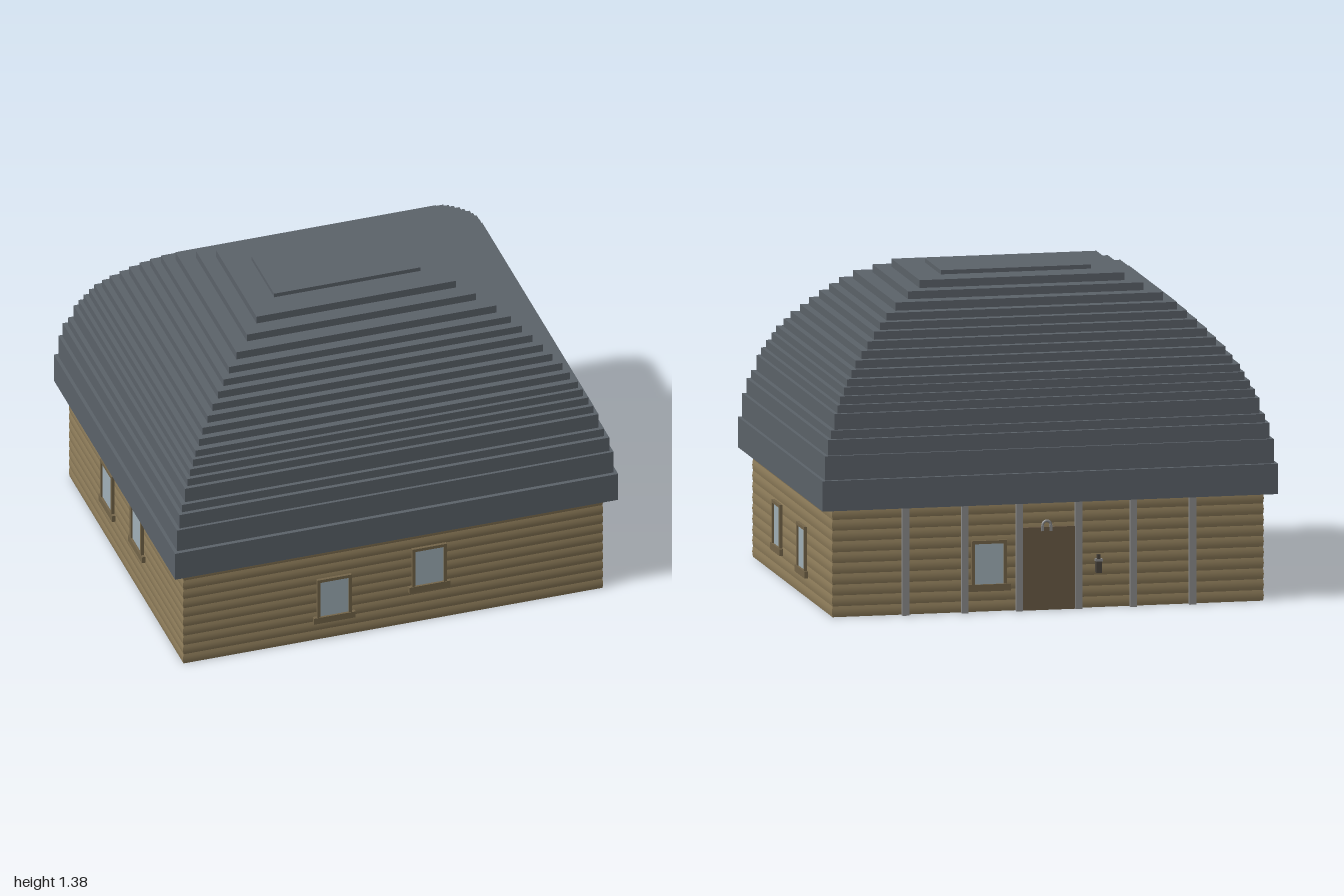
import * as THREE from 'three';

const mat = (color) => new THREE.MeshStandardMaterial({ color });
const roofMat = mat(0x5c636a), wallMat = mat(0x917f5c), trimMat = mat(0x75664a);
const glassMat = mat(0xa2b1b9), doorMat = mat(0x6a5a45), metalMat = mat(0x8c8c8c), darkMat = mat(0x4a443c);

function box(parent, name, w, h, d, x, y, z, material) {
  const mesh = new THREE.Mesh(new THREE.BoxGeometry(w, h, d), material);
  mesh.position.set(x, y, z);
  mesh.name = name;
  parent.add(mesh);
  return mesh;
}

// Framed window facing +z; origin is the middle of the sill's underside
function makeWindow() {
  const g = new THREE.Group();
  g.name = 'window';
  const w = 0.155, h = 0.19, t = 0.014, sill = 0.03, depth = 0.016;
  box(g, 'sill', 0.187, sill, depth, 0, sill / 2, depth / 2, trimMat);
  for (const s of [-1, 1])
    box(g, 'frameSide', t, h, depth * 0.85, s * (w - t) / 2, sill + h / 2, depth * 0.425, trimMat);
  box(g, 'frameTop', w, t, depth * 0.85, 0, sill + h - t / 2, depth * 0.425, trimMat);
  box(g, 'glass', w - t, h - t, 0.006, 0, sill + (h - t) / 2, 0.003, glassMat);
  return g;
}

export function createModel() {
  const model = new THREE.Group();
  model.name = 'cottage';
  const HX = 0.948, HZ = 0.778, wallTop = 0.47;

  // Walls: stacked courses with a very shallow bulge
  const walls = new THREE.Group();
  walls.name = 'walls';
  const courses = 10, ch = wallTop / courses;
  const course = new THREE.BoxGeometry(HX * 2, ch, HZ * 2, 1, 4, 1);
  const p = course.attributes.position;
  for (let i = 0; i < p.count; i++) {
    const inset = 0.003 * (2 * p.getY(i) / ch) ** 2;
    p.setX(i, p.getX(i) - Math.sign(p.getX(i)) * inset);
    p.setZ(i, p.getZ(i) - Math.sign(p.getZ(i)) * inset);
  }
  course.computeVertexNormals();
  for (let i = 0; i < courses; i++) {
    const m = new THREE.Mesh(course, wallMat);
    m.name = 'wallCourse';
    m.position.y = (i + 0.5) * ch;
    walls.add(m);
  }
  model.add(walls);

  // Domed roof of shrinking slabs: [half width, half depth, top height]
  const layers = [
    [1, 0.826, 0.602], [0.985, 0.808, 0.707], [0.97, 0.795, 0.775], [0.953, 0.777, 0.812],
    [0.933, 0.76, 0.88], [0.917, 0.742, 0.915], [0.9, 0.724, 0.95], [0.88, 0.706, 0.985],
    [0.863, 0.689, 1.017], [0.837, 0.66, 1.052], [0.812, 0.631, 1.087], [0.778, 0.6, 1.122],
    [0.746, 0.569, 1.157], [0.709, 0.535, 1.192], [0.674, 0.5, 1.225], [0.637, 0.462, 1.258],
    [0.587, 0.415, 1.294], [0.517, 0.347, 1.328], [0.45, 0.276, 1.362], [0.33, 0.154, 1.38],
  ];
  const roof = new THREE.Group();
  roof.name = 'roof';
  let base = wallTop;
  for (const [hx, hz, top] of layers) {
    box(roof, 'roofLayer', hx * 2, top - base, hz * 2, 0, (top + base) / 2, 0, roofMat);
    base = top;
  }
  model.add(roof);

  // Windows: [x, sill height, z, turn]
  const q = Math.PI / 2;
  const windows = [
    [-0.268, 0.09, HZ, 0], [0.161, 0.16, HZ, 0],
    [HX, 0.105, 0.267, q], [HX, 0.09, -0.214, q],
    [-HX, 0.16, -0.235, -q], [-HX, 0.2, 0.17, -q],
    [0.26, 0.09, -HZ, Math.PI],
  ];
  for (const [x, y, z, turn] of windows) {
    const w = makeWindow();
    w.position.set(x, y, z);
    w.rotation.y = turn;
    model.add(w);
  }

  // Back door
  box(model, 'door', 0.25, 0.36, 0.017, 0, 0.18, -HZ - 0.0085, doorMat);

  // Free-standing posts along the back
  for (const x of [0.13, 0.37, 0.63])
    for (const s of [-1, 1])
      box(model, 'post', 0.03, wallTop, 0.018, s * x, wallTop / 2, -0.798, metalMat);

  // Horseshoe arch over the door
  const horseshoe = new THREE.Group();
  horseshoe.name = 'horseshoe';
  const arch = new THREE.Mesh(new THREE.TorusGeometry(0.018, 0.006, 8, 16, Math.PI), metalMat);
  arch.name = 'horseshoeArch';
  horseshoe.add(arch);
  for (const s of [-1, 1])
    box(horseshoe, 'horseshoeLeg', 0.012, 0.026, 0.011, s * 0.018, -0.013, 0, metalMat);
  horseshoe.position.set(0.01, 0.37, -0.798);
  model.add(horseshoe);

  // Small wall lantern beside the door
  const lantern = new THREE.Group();
  lantern.name = 'wallLantern';
  box(lantern, 'lanternBody', 0.026, 0.05, 0.022, 0, -0.012, 0, darkMat);
  box(lantern, 'lanternCap', 0.032, 0.01, 0.024, 0, 0.018, 0, metalMat);
  box(lantern, 'lanternTop', 0.014, 0.02, 0.014, 0, 0.032, 0, darkMat);
  lantern.position.set(-0.22, 0.19, -0.79);
  model.add(lantern);

  return model;
}
